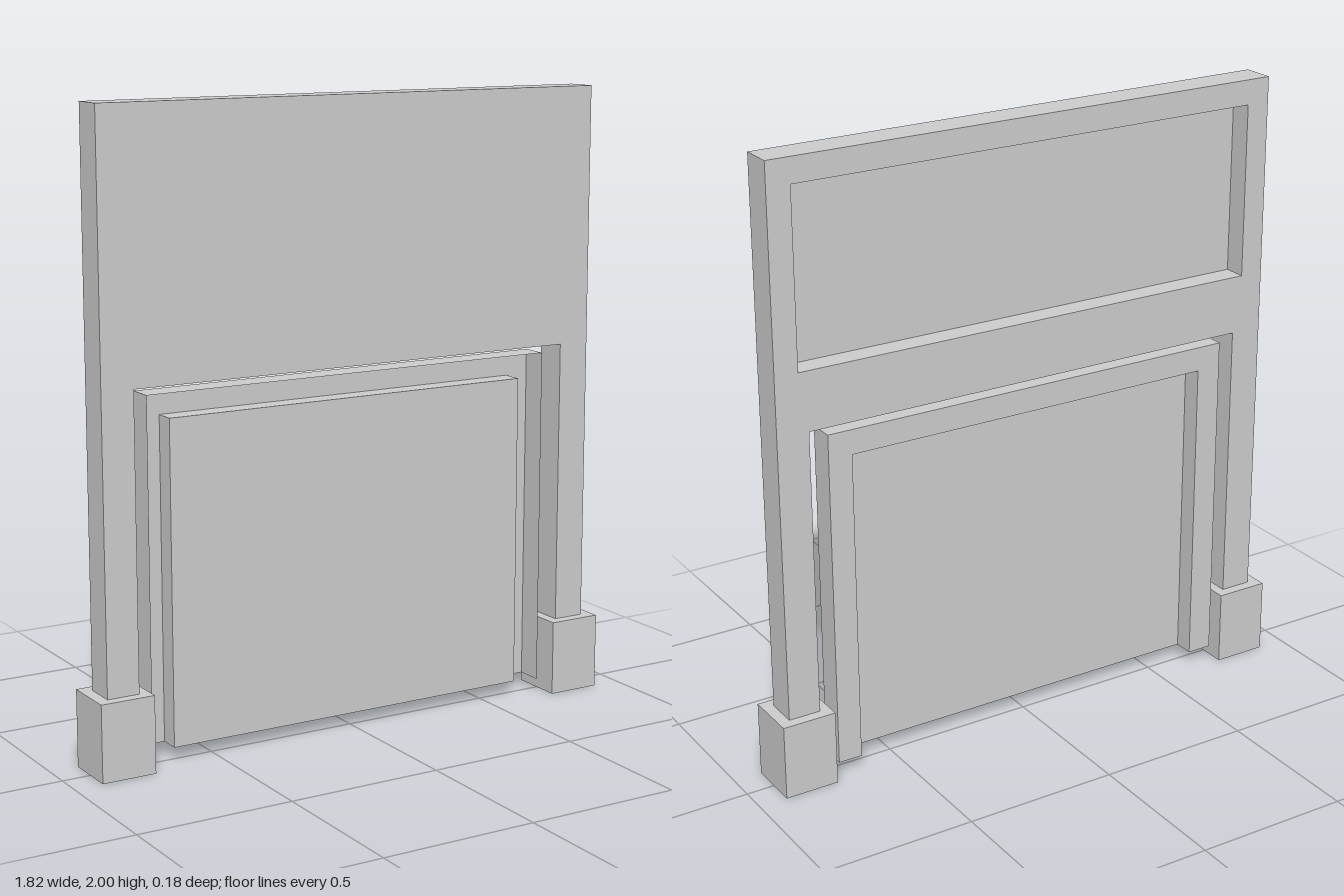
import * as THREE from 'three';

const grey = new THREE.MeshStandardMaterial({ color: 0xcccccc, flatShading: true });
const sheet = new THREE.MeshStandardMaterial({ color: 0xcccccc, flatShading: true, side: THREE.DoubleSide });

function add(parent, name, geometry, material = grey) {
  const mesh = new THREE.Mesh(geometry, material);
  mesh.name = name;
  parent.add(mesh);
  return mesh;
}

const points = (list) => list.map(([x, y]) => new THREE.Vector2(x, y));

// Upside-down U outline: wide header on two posts
function frameShape() {
  return new THREE.Shape(points([
    [-0.872, 0.245], [-0.767, 0.245], [-0.767, 1.17], [0.767, 1.17],
    [0.767, 0.245], [0.872, 0.245], [0.872, 2], [-0.872, 2],
  ]));
}

function slab(shape, z0, z1) {
  return new THREE.ExtrudeGeometry(shape, { depth: z1 - z0, bevelEnabled: false }).translate(0, 0, z0);
}

// Folded sheet: bands between successive U-shaped outlines, open at the bottom
function pressedSheet(levels, bottom) {
  const outline = ([x0, x1, top, z]) => [[x0, bottom, z], [x0, top, z], [x1, top, z], [x1, bottom, z]];
  const positions = [];
  const quad = (a, b, c, d) => positions.push(...a, ...b, ...c, ...a, ...c, ...d);
  for (let i = 0; i < levels.length - 1; i++) {
    const p = outline(levels[i]);
    const q = outline(levels[i + 1]);
    for (let j = 0; j < 3; j++) quad(p[j], q[j], q[j + 1], p[j + 1]);
  }
  const [a, b, c, d] = outline(levels[levels.length - 1]);
  quad(a, d, c, b);
  const geometry = new THREE.BufferGeometry();
  geometry.setAttribute('position', new THREE.Float32BufferAttribute(positions, 3));
  geometry.computeVertexNormals();
  return geometry;
}

export function createModel() {
  const model = new THREE.Group();
  model.name = 'gateFrame';

  // Frame: plain front plate, rear layer with a recess in the header
  const frame = new THREE.Group();
  frame.name = 'frame';
  model.add(frame);
  const rear = frameShape();
  rear.holes.push(new THREE.Path(points([[-0.795, 1.36], [-0.795, 1.92], [0.795, 1.92], [0.795, 1.36]])));
  add(frame, 'frontPlate', slab(frameShape(), 0.022, 0.053));
  add(frame, 'rearFrame', slab(rear, -0.053, 0.022));

  // Foot blocks
  for (const [name, side] of [['leftFoot', 1], ['rightFoot', -1]]) {
    add(model, name, new THREE.BoxGeometry(0.176, 0.245, 0.176)).position.set(side * 0.821, 0.1225, 0);
  }

  // Door: outer lip, rear flange and centre pressed forward
  add(model, 'doorPanel', pressedSheet([
    [-0.718, 0.706, 1.145, 0.037],
    [-0.718, 0.706, 1.145, -0.05],
    [-0.635, 0.627, 1.065, -0.05],
    [-0.635, 0.627, 1.065, 0.017],
  ], 0.042), sheet);

  return model;
}
